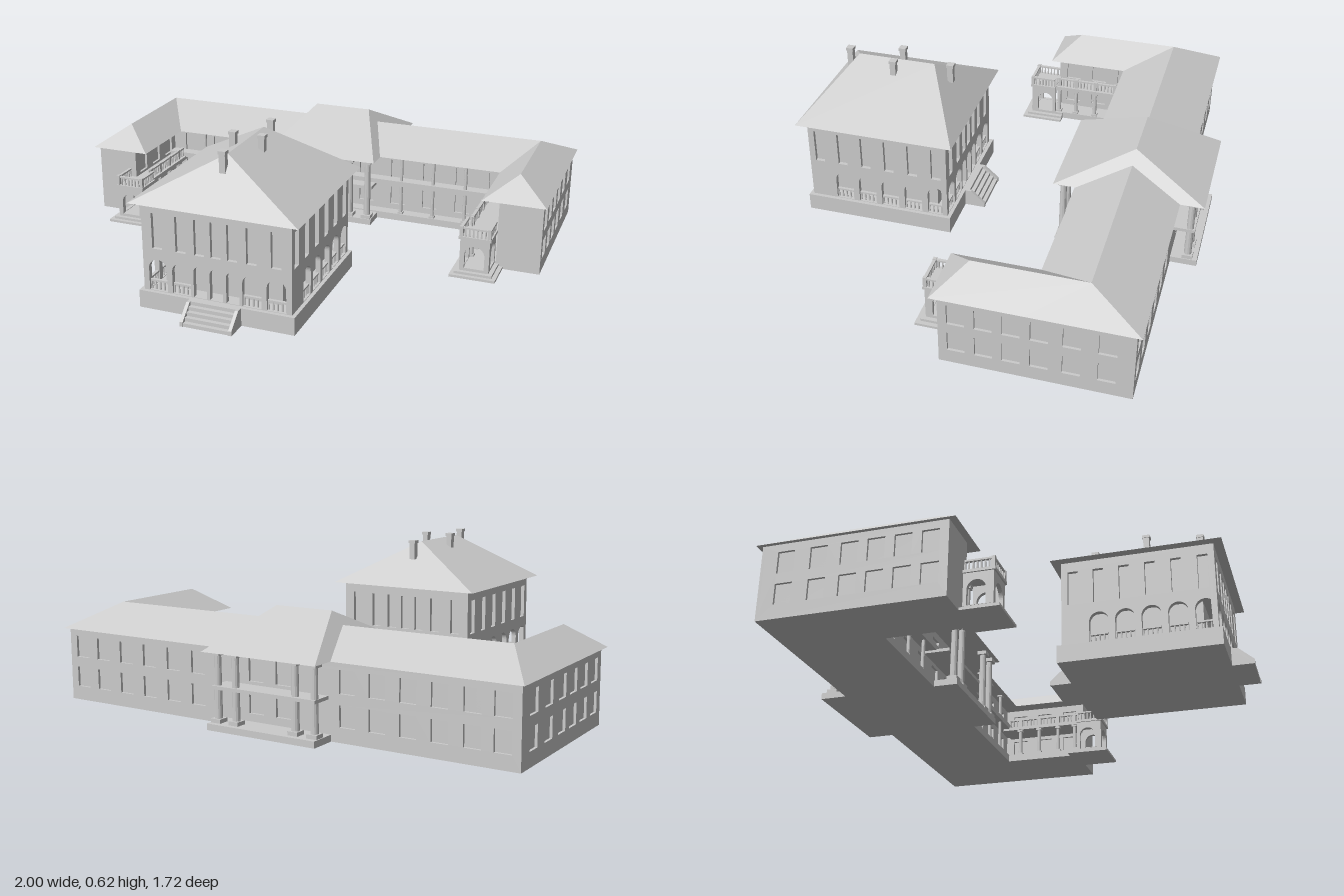
import * as THREE from 'three';
import { ConvexGeometry } from 'three/addons/geometries/ConvexGeometry.js';

const mat = new THREE.MeshStandardMaterial({ color: 0xcccccc, flatShading: true });
const V = (x, y, z) => new THREE.Vector3(x, y, z);

function add(parent, name, geo) {
  const m = new THREE.Mesh(geo, mat);
  m.name = name;
  parent.add(m);
  return m;
}

// Box given by its limits
function box(parent, name, x0, x1, y0, y1, z0, z1) {
  const m = add(parent, name, new THREE.BoxGeometry(x1 - x0, y1 - y0, z1 - z0));
  m.position.set((x0 + x1) / 2, (y0 + y1) / 2, (z0 + z1) / 2);
  return m;
}

// Round column with square base and cap
function column(parent, x, z, y0, y1, r) {
  const g = new THREE.Group();
  g.name = 'column';
  add(g, 'shaft', new THREE.CylinderGeometry(r * 0.85, r, y1 - y0, 12)).position.set(x, (y0 + y1) / 2, z);
  box(g, 'columnBase', x - r * 1.4, x + r * 1.4, y0, y0 + r, z - r * 1.4, z + r * 1.4);
  box(g, 'columnCap', x - r * 1.3, x + r * 1.3, y1 - r, y1, z - r * 1.3, z + r * 1.3);
  parent.add(g);
}

// Wall panel with rectangular or arched openings; outer face at local z = 0
function wall(parent, name, w, h, t, holes, pos, ry) {
  const s = new THREE.Shape([[-w / 2, 0], [w / 2, 0], [w / 2, h], [-w / 2, h]].map(p => new THREE.Vector2(...p)));
  for (const o of holes) {
    const p = new THREE.Path(), a = o.w / 2, top = o.y + o.h;
    p.moveTo(o.x - a, o.y);
    if (o.arch) {
      p.lineTo(o.x - a, top - a);
      p.absarc(o.x, top - a, a, Math.PI, 0, true);
    } else {
      p.lineTo(o.x - a, top);
      p.lineTo(o.x + a, top);
    }
    p.lineTo(o.x + a, o.y);
    p.closePath();
    s.holes.push(p);
  }
  const geo = new THREE.ExtrudeGeometry(s, { depth: t, bevelEnabled: false, curveSegments: 10 });
  geo.translate(0, 0, -t);
  const m = add(parent, name, geo);
  m.position.set(...pos);
  m.rotation.y = ry;
}

// Railing with balusters between two plan points
function balustrade(parent, x0, z0, x1, z1, y0, y1) {
  const g = new THREE.Group(), len = Math.hypot(x1 - x0, z1 - z0), n = Math.max(2, Math.round(len / 0.016));
  g.name = 'balustrade';
  add(g, 'handrail', new THREE.BoxGeometry(len, 0.007, 0.012)).position.y = y1 - 0.0035;
  for (let i = 0; i <= n; i++)
    add(g, 'baluster', new THREE.CylinderGeometry(0.003, 0.004, y1 - y0, 6)).position.set((i / n - 0.5) * len, (y0 + y1) / 2, 0);
  g.position.set((x0 + x1) / 2, 0, (z0 + z1) / 2);
  g.rotation.y = -Math.atan2(z1 - z0, x1 - x0);
  parent.add(g);
}

// Hipped roof with the ridge from a to b
function hipRoof(parent, name, x0, x1, z0, z1, y, a, b) {
  add(parent, name, new ConvexGeometry([V(x0, y, z0), V(x1, y, z0), V(x1, y, z1), V(x0, y, z1), a, b]));
}

function villa() {
  const g = new THREE.Group();
  g.name = 'villa';
  const H = 0.295;
  box(g, 'plinth', -0.31, 0.31, 0, 0.07, -0.31, 0.31);
  box(g, 'groundFloorCore', -0.235, 0.235, 0.07, 0.23, -0.235, 0.235);
  box(g, 'upperFloorCore', -0.28, 0.28, 0.215, 0.42, -0.28, 0.28);
  const six = [-2.5, -1.5, -0.5, 0.5, 1.5, 2.5].map(i => ({ x: i * 0.1, w: 0.075 }));
  const seven = [-0.235, -0.14, -0.065, 0, 0.065, 0.14, 0.235].map(x => ({ x, w: Math.abs(x) < 0.1 ? 0.052 : 0.075 }));
  for (let k = 0; k < 4; k++) {
    const side = new THREE.Group();
    side.name = 'facade';
    side.rotation.y = k * Math.PI / 2;
    g.add(side);
    const bays = k % 2 ? six : seven;
    const holes = [];
    for (const b of bays) {
      holes.push({ x: b.x, w: b.w, y: 0.002, h: 0.125, arch: true });
      holes.push({ x: b.x, w: 0.04, y: 0.17, h: 0.14 });
      if (b.w > 0.06) balustrade(side, b.x - 0.035, H - 0.012, b.x + 0.035, H - 0.012, 0.07, 0.112);
    }
    wall(side, 'arcadeWall', 2 * H - (k % 2 ? 0.04 : 0), 0.35, 0.02, holes, [0, 0.07, H], 0);
  }
  // Entrance stairs with sloping side walls, front and back
  for (const s of [1, -1]) {
    const stairs = new THREE.Group();
    stairs.name = 'entranceStairs';
    for (let i = 0; i < 5; i++) box(stairs, 'step', -0.09, 0.09, 0, 0.07 - i * 0.014, 0.3, 0.327 + i * 0.0165);
    for (const e of [-1, 1])
      add(stairs, 'stairSideWall', new ConvexGeometry([0.09, 0.103].flatMap(x =>
        [V(e * x, 0, 0.3), V(e * x, 0.07, 0.3), V(e * x, 0.07, 0.335), V(e * x, 0.018, 0.395), V(e * x, 0, 0.395)])));
    stairs.rotation.y = s > 0 ? 0 : Math.PI;
    g.add(stairs);
  }
  hipRoof(g, 'villaRoof', -0.332, 0.332, -0.33, 0.33, 0.42, V(0, 0.6, -0.155), V(0, 0.6, 0.17));
  for (const [x, z, y] of [[0, 0.21, 0.625], [0, -0.225, 0.61], [-0.057, 0, 0.625], [0.06, 0, 0.625]]) {
    box(g, 'chimney', x - 0.012, x + 0.012, 0.53, y, z - 0.012, z + 0.012);
    box(g, 'chimneyCap', x - 0.015, x + 0.015, y - 0.012, y, z - 0.015, z + 0.015);
  }
  g.position.set(-0.04, 0, 0.46);
  return g;
}

// Two storeys of windows at the given positions
const windows = (xs, w = 0.065) => xs.flatMap(x => [{ x, w, y: 0.055, h: 0.08 }, { x, w, y: 0.175, h: 0.085 }]);

function porch(s) {
  const g = new THREE.Group();
  g.name = 'porch';
  for (let i = 0; i < 3; i++) {
    const d = 0.017 * i;
    box(g, 'porchStep', -0.092 + d, 0.092 - d, 0, 0.01 + 0.01 * i, -0.08, 0.1 - d);
  }
  const arch = w => [{ x: 0, w, y: 0.002, h: 0.095, arch: true }];
  wall(g, 'porchFront', 0.118, 0.125, 0.015, arch(0.08), [0, 0.03, 0.067], 0);
  for (const e of [-1, 1]) {
    wall(g, 'porchSide', 0.097, 0.125, 0.015, arch(0.07), [e * 0.059, 0.03, 0.0035], e * Math.PI / 2);
    balustrade(g, e * 0.056, -0.04, e * 0.056, 0.064, 0.165, 0.205);
    box(g, 'porchPost', e * 0.056 - 0.007, e * 0.056 + 0.007, 0.165, 0.208, 0.057, 0.071);
  }
  box(g, 'porchTerrace', -0.065, 0.065, 0.155, 0.166, -0.045, 0.073);
  balustrade(g, -0.056, 0.064, 0.056, 0.064, 0.165, 0.205);
  g.position.x = -0.017 + s * 0.763;
  return g;
}

function rearBuilding() {
  const g = new THREE.Group();
  g.name = 'rearBuilding';
  box(g, 'mainRangeCore', -0.975, 0.975, 0, 0.29, -0.735, -0.43);
  box(g, 'mainFloor', -0.975, 0.975, 0, 0.03, -0.74, -0.37);
  const half = [0.33, 0.45, 0.57, 0.69, 0.81, 0.92];
  wall(g, 'backWall', 1.97, 0.29, 0.01, windows([...half, 0.06, -0.06, ...half.map(x => -x)]), [0, 0, -0.745], Math.PI);
  const bays = [0.14, 0.285, 0.43, 0.575, 0.72].flatMap(x => [x, -x]);
  wall(g, 'courtWall', 1.62, 0.29, 0.01, windows([0, ...bays]), [0, 0, -0.42], 0);
  box(g, 'courtGallery', -0.81, 0.81, 0.16, 0.182, -0.42, -0.37);
  hipRoof(g, 'mainRoof', -1, 1, -0.765, -0.355, 0.29, V(-0.87, 0.38, -0.56), V(0.87, 0.38, -0.56));

  for (const s of [-1, 1]) {
    const arm = new THREE.Group(), X = (a, b) => s > 0 ? [a, b] : [-b, -a];
    const edge = s > 0 ? 0.69 : 0.73;
    arm.name = s > 0 ? 'leftWing' : 'rightWing';
    g.add(arm);
    box(arm, 'wingCore', ...X(0.82, 0.975), 0, 0.29, -0.735, -0.045);
    box(arm, 'wingFloor', ...X(edge, 0.97), 0, 0.03, -0.42, -0.046);
    const zs = [-0.11, -0.21, -0.31, -0.41, -0.525, -0.65];
    wall(arm, 'wingOuterWall', 0.7, 0.29, 0.01, windows(zs.map(z => -s * (z + 0.395))), [s * 0.985, 0, -0.395], s * Math.PI / 2);
    wall(arm, 'wingInnerWall', 0.375, 0.29, 0.01, windows([-0.12, 0, 0.12]), [s * 0.81, 0, -0.2325], -s * Math.PI / 2);
    hipRoof(arm, 'wingRoof', ...X(0.743, 1), -0.765, -0.018, 0.29, V(s * 0.87, 0.38, -0.56), V(s * 0.87, 0.38, -0.13));
    // Gallery along the inner side of the wing
    box(arm, 'wingGallery', ...X(edge, 0.82), 0.15, 0.165, -0.4, -0.045);
    const cx = s * (edge + 0.015);
    balustrade(arm, cx, -0.37, cx, -0.045, 0.165, 0.205);
    for (const z of [-0.32, -0.23, -0.14, -0.06]) {
      column(arm, cx, z, 0.03, 0.15, 0.009);
      box(arm, 'railPost', cx - 0.007, cx + 0.007, 0.165, 0.208, z - 0.007, z + 0.007);
    }
    arm.add(porch(s));
    for (let k = 0; k < 3; k++) column(g, -0.02 + s * (0.33 + 0.142 * k), -0.385, 0.03, 0.29, 0.008);
  }

  // Central porticoes, front and back
  const c = -0.028;
  for (const [zw, zc, zb, ze] of [[-0.42, -0.3, -0.315, -0.275], [-0.74, -0.81, -0.83, -0.85]]) {
    const p = new THREE.Group();
    p.name = 'portico';
    g.add(p);
    box(p, 'porticoFloor', c - 0.235, c + 0.235, 0, 0.025, Math.min(zw, ze), Math.max(zw, ze));
    box(p, 'porticoBalcony', c - 0.225, c + 0.225, 0.15, 0.163, Math.min(zw, zb), Math.max(zw, zb));
    for (const x of [-0.21, -0.13, 0.13, 0.21]) column(p, c + x, zc, 0.025, 0.29, 0.015);
  }
  hipRoof(g, 'porticoRoof', c - 0.247, c + 0.247, -0.86, -0.265, 0.29, V(c - 0.123, 0.43, -0.565), V(c + 0.123, 0.43, -0.565));
  return g;
}

export function createModel() {
  const model = new THREE.Group();
  model.name = 'countryHouse';
  model.add(villa(), rearBuilding());
  return model;
}
